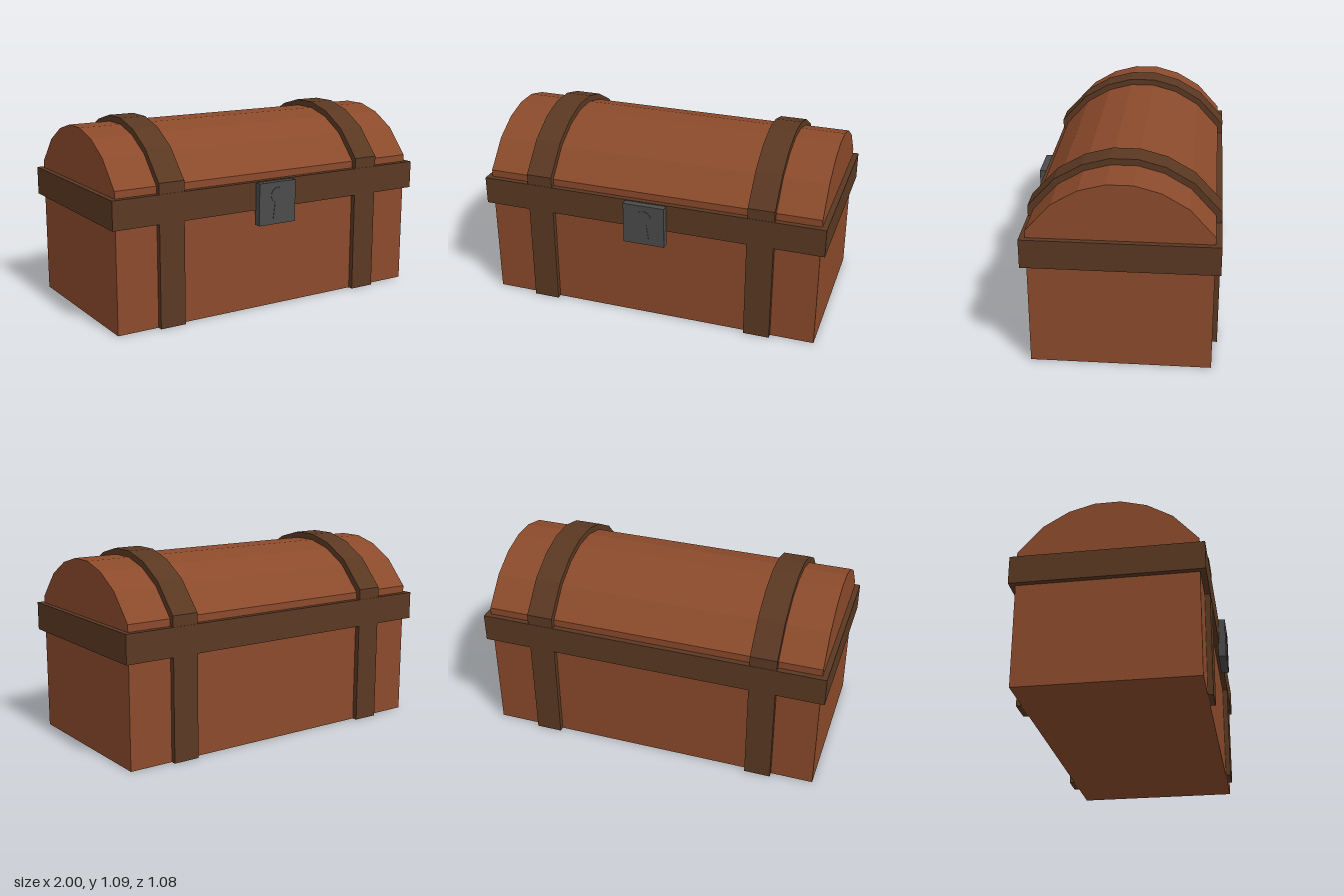
import * as THREE from 'three';

const wood = new THREE.MeshStandardMaterial({ color: 0x8b4a2b, flatShading: true });
const darkWood = new THREE.MeshStandardMaterial({ color: 0x5a3822, flatShading: true });
const iron = new THREE.MeshStandardMaterial({ color: 0x4b4b4b, flatShading: true });

const CENTER_Z = -0.02;

// Chest end outlines as [half depth, height], from the floor up to the crown
const innerHalf = [[0.485, 0], [0.485, 0.78], [0.35, 0.93], [0.21, 1.012], [0.07, 1.05]];
const outerHalf = [[0.515, 0], [0.515, 0.8], [0.367, 0.96], [0.22, 1.045], [0.074, 1.085]];

// Full arch, mirrored front to back
function arch(half) {
  const left = half.map(([d, y]) => new THREE.Vector2(-d, y));
  const right = half.map(([d, y]) => new THREE.Vector2(d, y)).reverse();
  return [...left, ...right];
}

// Extrude an end outline along x, from x0 to x1
function extrudeAlongX(points, x0, x1, material, name) {
  const geometry = new THREE.ExtrudeGeometry(new THREE.Shape(points), { depth: x1 - x0, bevelEnabled: false });
  geometry.rotateY(Math.PI / 2);
  geometry.translate(x0, 0, CENTER_Z);
  const mesh = new THREE.Mesh(geometry, material);
  mesh.name = name;
  return mesh;
}

function box(w, h, d, x, y, z, material, name) {
  const mesh = new THREE.Mesh(new THREE.BoxGeometry(w, h, d), material);
  mesh.position.set(x, y, z);
  mesh.name = name;
  return mesh;
}

export function createModel() {
  const chest = new THREE.Group();
  chest.name = 'treasureChest';

  // Wooden body with faceted, domed lid
  chest.add(extrudeAlongX(arch(innerHalf), -0.97, 0.97, wood, 'bodyAndLid'));

  // Two straps wrapping the front, lid and back
  const strapOutline = [...arch(outerHalf), ...arch(innerHalf).reverse()];
  chest.add(extrudeAlongX(strapOutline, -0.73, -0.58, darkWood, 'rightStrap'));
  chest.add(extrudeAlongX(strapOutline, 0.57, 0.72, darkWood, 'leftStrap'));

  // Horizontal rim band
  chest.add(box(2, 0.16, 1.034, 0, 0.66, CENTER_Z, darkWood, 'rimBand'));

  // Lock plate
  const lock = new THREE.Group();
  lock.name = 'lock';
  lock.add(box(0.24, 0.24, 0.045, -0.01, 0.615, 0.5125, iron, 'lockPlate'));

  // Raised keyhole: round head with a flared stem
  const keyhole = new THREE.Shape();
  keyhole.moveTo(-0.03, -0.09);
  keyhole.lineTo(0.03, -0.09);
  keyhole.lineTo(0.018, 0);
  keyhole.absarc(0, 0.04, 0.044, -1.15, Math.PI + 1.15, false);
  keyhole.closePath();
  const keyholeMesh = new THREE.Mesh(
    new THREE.ExtrudeGeometry(keyhole, { depth: 0.004, bevelEnabled: false, curveSegments: 8 }), iron);
  keyholeMesh.position.set(-0.01, 0.62, 0.534);
  keyholeMesh.name = 'keyhole';
  lock.add(keyholeMesh);
  chest.add(lock);

  return chest;
}
